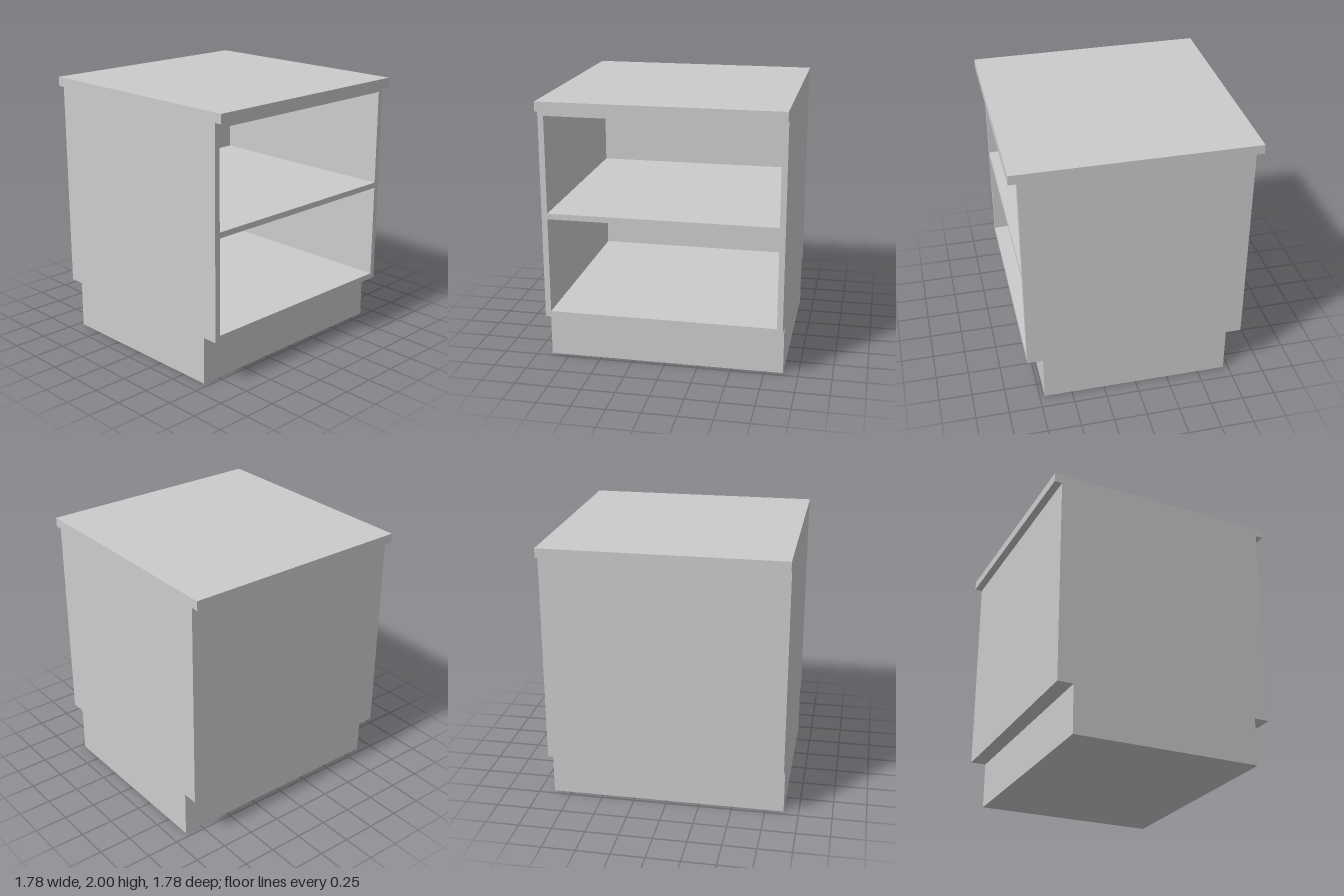
import * as THREE from 'three';

const material = new THREE.MeshStandardMaterial({ color: 0xcccccc });

// Box given by its lower and upper corner
function board(name, [x0, y0, z0], [x1, y1, z1]) {
  const geometry = new THREE.BoxGeometry(x1 - x0, y1 - y0, z1 - z0);
  const mesh = new THREE.Mesh(geometry, material);
  mesh.position.set((x0 + x1) / 2, (y0 + y1) / 2, (z0 + z1) / 2);
  mesh.name = name;
  return mesh;
}

export function createModel() {
  const group = new THREE.Group();
  group.name = 'openCabinet';

  const W = 0.888;       // half width
  const D = 0.83;        // half depth of the carcass
  const T = 0.043;       // board thickness
  const bottom = 0.358;  // underside of the carcass
  const top = 1.93;      // underside of the worktop
  const inner = W - T;
  const back = -D + T;

  // Recessed plinth and overhanging worktop
  group.add(board('plinth', [-W, 0, -0.712], [W, bottom, 0.712]));
  group.add(board('worktop', [-W, top, -W], [W, 2, W]));

  // Carcass, open at the front
  group.add(board('leftSide', [inner, bottom, -D], [W, top, D]));
  group.add(board('rightSide', [-W, bottom, -D], [-inner, top, D]));
  group.add(board('backPanel', [-inner, bottom, -D], [inner, top, back]));
  group.add(board('floorPanel', [-inner, bottom, back], [inner, bottom + T, D]));
  group.add(board('topPanel', [-inner, top - T, back], [inner, top, D]));

  // Middle shelf
  group.add(board('shelf', [-inner, 1.122, back], [inner, 1.122 + T, D]));

  return group;
}
